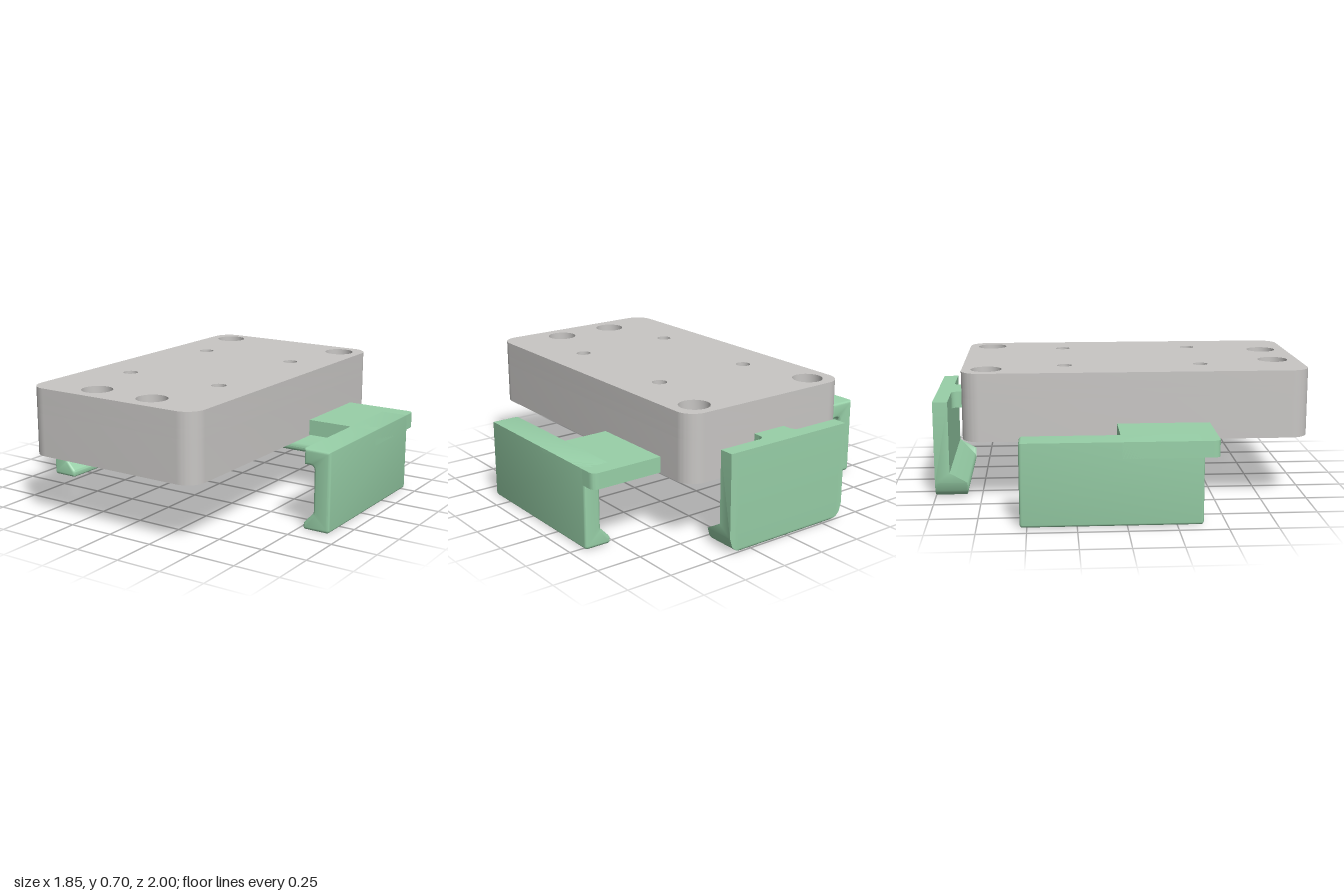
import * as THREE from 'three';
import { toCreasedNormals } from 'three/addons/utils/BufferGeometryUtils.js';

const grey = new THREE.MeshStandardMaterial({ color: 0xc8c6c4 });
grey.name = 'housing grey';
const green = new THREE.MeshStandardMaterial({ color: 0x98d0a8 });
green.name = 'clamp green';

function part(parent, name, geometry, material) {
  const mesh = new THREE.Mesh(toCreasedNormals(geometry, 0.6), material);
  mesh.name = name;
  parent.add(mesh);
  return mesh;
}

// Closed outline; each point is [x, y, cornerRadius]
function outline(points, Type = THREE.Shape) {
  const s = new Type();
  const n = points.length;
  points.forEach(([x, y, r = 0], i) => {
    const p = new THREE.Vector2(x, y);
    const a = new THREE.Vector2(...points[(i + n - 1) % n].slice(0, 2));
    const b = new THREE.Vector2(...points[(i + 1) % n].slice(0, 2));
    const start = a.sub(p).setLength(r).add(p);
    const end = b.sub(p).setLength(r).add(p);
    if (i === 0) s.moveTo(start.x, start.y);
    else s.lineTo(start.x, start.y);
    if (r > 0) s.quadraticCurveTo(x, y, end.x, end.y);
  });
  s.closePath();
  return s;
}

// Plan shapes take (x, z); the slab rises from y0 to y1
const plan = (points, Type) => outline(points.map(([x, z, r]) => [x, -z, r]), Type);

function slab(shape, y0, y1) {
  const g = new THREE.ExtrudeGeometry(shape, { depth: y1 - y0, bevelEnabled: false, curveSegments: 10 });
  return g.rotateX(-Math.PI / 2).translate(0, y0, 0);
}

function roundHole(x, z, r) {
  return new THREE.Path().absarc(x, -z, r, 0, Math.PI * 2, true);
}

function roundedRect(w, z0, z1, r, Type = THREE.Shape) {
  const s = new Type();
  const x0 = -w, y0 = -z1, y1 = -z0;
  s.moveTo(x0 + r, y0);
  s.absarc(w - r, y0 + r, r, -Math.PI / 2, 0, false);
  s.absarc(w - r, y1 - r, r, 0, Math.PI / 2, false);
  s.absarc(x0 + r, y1 - r, r, Math.PI / 2, Math.PI, false);
  s.absarc(x0 + r, y0 + r, r, Math.PI, Math.PI * 1.5, false);
  return s;
}

// Stadium-shaped slot between two plan points
function slot(ax, az, bx, bz, r) {
  const angle = Math.atan2(az - bz, bx - ax);
  const s = new THREE.Path();
  s.absarc(bx, -bz, r, angle - Math.PI / 2, angle + Math.PI / 2, false);
  s.absarc(ax, -az, r, angle + Math.PI / 2, angle + Math.PI * 1.5, false);
  s.closePath();
  return s;
}

const screws = [[-0.385, -0.71], [0.385, -0.71], [-0.175, 0.86], [0.175, 0.86]];
const blind = [[-0.29, -0.295], [0.29, -0.295], [-0.29, 0.44], [0.29, 0.44]];

function buildHousing() {
  const g = new THREE.Group();
  g.name = 'housing';
  const body = () => roundedRect(0.52, -0.84, 1, 0.1);
  const walls = body();
  walls.holes.push(roundedRect(0.47, -0.79, 0.95, 0.06, THREE.Path));
  part(g, 'housingWalls', slab(walls, 0.342, 0.57), grey);
  const ceiling = body();
  screws.forEach(([x, z]) => ceiling.holes.push(roundHole(x, z, 0.05)));
  part(g, 'housingCeiling', slab(ceiling, 0.57, 0.62), grey);
  const top = body();
  screws.forEach(([x, z]) => top.holes.push(roundHole(x, z, 0.082)));
  blind.forEach(([x, z]) => top.holes.push(roundHole(x, z, 0.04)));
  part(g, 'housingTop', slab(top, 0.62, 0.705), grey);
  return g;
}

// Side arm: sliding plate with a diagonal slot, carrying a hooked jaw
function buildArm(name, slotPath) {
  const g = new THREE.Group();
  g.name = name;
  const plate = plan([
    [0, -0.61], [0.925, -0.61, 0.04], [0.925, -0.12], [0, -0.12],
  ]);
  plate.holes.push(slotPath);
  part(g, 'slidingPlate', slab(plate, 0.347, 0.432), green);

  const jaw = outline([
    [0.775, 0, 0.015], [0.925, 0, 0.02], [0.925, 0.432], [0.775, 0.432],
    [0.775, 0.347], [0.832, 0.347, 0.025], [0.832, 0.095, 0.01], [0.775, 0.035, 0.01],
  ]);
  const bevel = 0.015;
  const geo = new THREE.ExtrudeGeometry(jaw, {
    depth: 0.92 - 2 * bevel, bevelEnabled: true, bevelSize: bevel, bevelThickness: bevel,
    bevelOffset: -bevel, bevelSegments: 3, curveSegments: 6,
  });
  part(g, 'hookedJaw', geo.translate(0, 0, -0.53 + bevel), green);
  return g;
}

// Back jaw: hook profile swept across x, with rounded lower corners
function buildBackJaw() {
  const profile = outline([
    [1, 0, 0.02], [1, 0.53], [0.92, 0.53], [0.92, 0.14], [0.825, 0.045, 0.02], [0.825, 0, 0.03],
  ]);
  const half = 0.385, r = 0.085;
  const geo = new THREE.ExtrudeGeometry(profile, { depth: half * 2, steps: 60, bevelEnabled: false, curveSegments: 6 });
  geo.rotateY(Math.PI / 2).translate(-half, 0, 0);
  const p = geo.attributes.position;
  for (let i = 0; i < p.count; i++) {
    const d = Math.max(0, Math.abs(p.getX(i)) - (half - r));
    const floor = r - Math.sqrt(Math.max(0, r * r - d * d));
    p.setY(i, Math.max(p.getY(i), floor));
  }
  return geo;
}

function buildSlider() {
  const g = new THREE.Group();
  g.name = 'backSlider';
  part(g, 'backJaw', buildBackJaw(), green);

  // Neck flares into the jaw, then widens to the drive plate
  const shape = plan([
    [-0.3, 0.48], [-0.3, -0.6], [-0.1, -0.6], [-0.1, -0.922, 0.05], [-0.2, -0.922], [-0.2, -0.96],
    [0.2, -0.96], [0.2, -0.922], [0.1, -0.922, 0.05], [0.1, -0.6], [0.3, -0.6], [0.3, 0.48],
  ]);
  part(g, 'drivePlate', slab(shape, 0.44, 0.53), green);

  // Pins riding in the arm slots
  for (const [x, z] of [[0.18, -0.27], [-0.18, 0.31]]) {
    part(g, 'drivePin', new THREE.CylinderGeometry(0.038, 0.038, 0.1, 24).translate(x, 0.4, z), green);
  }

  // Folded spring: parallel bars linked at alternating ends
  const bars = [0.52, 0.58, 0.64, 0.7, 0.76];
  bars.forEach((z, i) => {
    part(g, 'springBar', new THREE.BoxGeometry(0.8, 0.09, 0.03).translate(0, 0.485, z), green);
    if (i < bars.length - 1) {
      const x = i % 2 ? -0.385 : 0.385;
      part(g, 'springLink', new THREE.BoxGeometry(0.03, 0.09, 0.06).translate(x, 0.485, z + 0.03), green);
    }
  });
  part(g, 'springRoot', new THREE.BoxGeometry(0.08, 0.09, 0.06).translate(0, 0.485, 0.5), green);

  // Anchors at the spring end, held by posts under the ceiling
  for (const x of [-0.4, 0.4]) {
    const ear = new THREE.Shape().absarc(x, -0.8, 0.06, 0, Math.PI * 2, false);
    ear.holes.push(roundHole(x, 0.8, 0.036));
    part(g, 'springAnchor', slab(ear, 0.42, 0.53), green);
    part(g, 'anchorPost', new THREE.CylinderGeometry(0.033, 0.033, 0.22, 20).translate(x, 0.47, 0.8), grey);
  }
  return g;
}

export function createModel() {
  const model = new THREE.Group();
  model.name = 'phoneClampMount';
  model.add(buildHousing());
  model.add(buildArm('leftArm', slot(0.15, -0.24, 0.43, -0.52, 0.042)));
  const rightArm = buildArm('rightArm', slot(0.15, -0.486, 0.43, -0.206, 0.042));
  rightArm.rotation.y = Math.PI;
  rightArm.position.z = -0.146;
  model.add(rightArm);
  model.add(buildSlider());
  return model;
}
